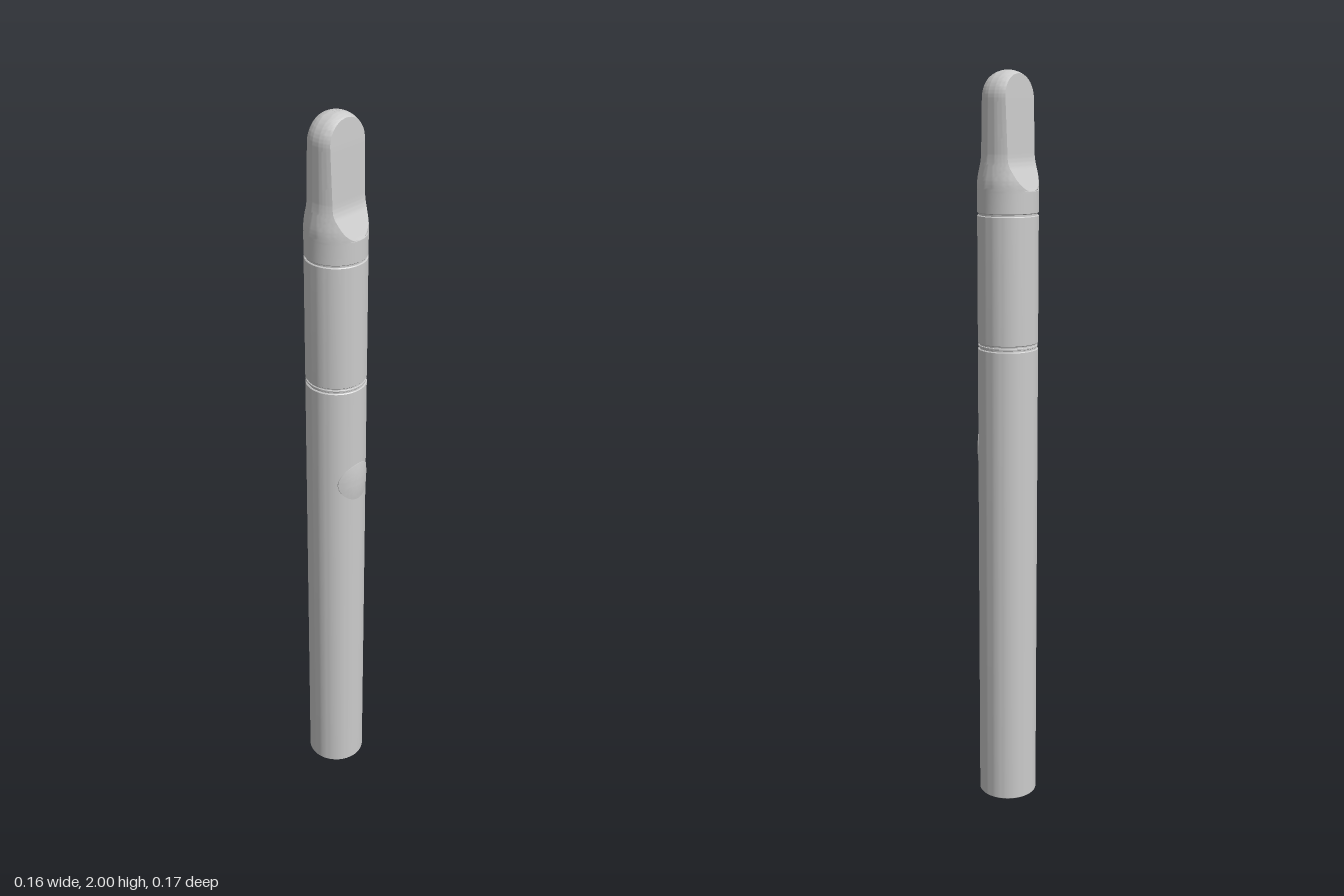
import * as THREE from 'three';
import { toCreasedNormals } from 'three/addons/utils/BufferGeometryUtils.js';

const R = 0.08;
const grey = new THREE.MeshStandardMaterial({ color: 0xcccccc });

function addMesh(parent, name, geometry) {
  const mesh = new THREE.Mesh(geometry, grey);
  mesh.name = name;
  parent.add(mesh);
  return mesh;
}

// Closed tube section with tiny chamfers at both ends
function tubeSection(y0, y1, r, c = 0.002) {
  const pts = [[0, y0], [r - c, y0], [r, y0 + c], [r, y1 - c], [r - c, y1], [0, y1]];
  const geo = new THREE.LatheGeometry(pts.map(p => new THREE.Vector2(...p)), 64);
  return toCreasedNormals(geo, 0.5);
}

// Linear interpolation through [y, value] pairs
function along(table, y) {
  for (let i = 1; i < table.length; i++) {
    const [ya, a] = table[i - 1], [yb, b] = table[i];
    if (y <= yb) return a + (b - a) * Math.max(0, (y - ya) / (yb - ya));
  }
  return table[table.length - 1][1];
}

// Domed round mouthpiece, cut by a flat on the front and back
function mouthpieceGeometry() {
  const radius = [[1.64, R], [1.715, R], [1.73, 0.079], [1.77, 0.073], [1.79, 0.071], [1.93, 0.07]];
  const flat = [[1.695, 0.083], [1.705, 0.077], [1.76, 0.049], [1.77, 0.0455], [1.785, 0.043], [1.93, 0.038], [2, 0.034]];
  const rings = [[1.643, 0], [1.643, R - 0.002], [1.645, R]];
  for (let y = 1.69; y < 1.931; y += 0.005) rings.push([y, along(radius, y)]);
  for (let i = 1; i <= 24; i++) {
    const a = (i / 24) * Math.PI / 2;
    rings.push([1.93 + 0.07 * Math.sin(a), 0.07 * Math.cos(a)]);
  }
  const arc = 20, cut = 12, n = 2 * (arc + cut);
  const pos = [], index = [];
  for (const [y, r] of rings) {
    const t = along(flat, y);
    const a = r > t ? Math.asin(t / r) : Math.PI / 2;
    const half = [];
    for (let i = 0; i < arc; i++) {
      const u = -a + (2 * a * i) / arc;
      half.push([r * Math.cos(u), r * Math.sin(u)]);
    }
    for (let i = 0; i < cut; i++) half.push([r * Math.cos(a) * (1 - (2 * i) / cut), r * Math.sin(a)]);
    for (const s of [1, -1]) for (const [x, z] of half) pos.push(s * x, y, s * z);
  }
  for (let k = 0; k < rings.length - 1; k++) {
    for (let i = 0; i < n; i++) {
      const a = k * n + i, b = k * n + (i + 1) % n;
      index.push(a, a + n, b, b, a + n, b + n);
    }
  }
  const geo = new THREE.BufferGeometry();
  geo.setAttribute('position', new THREE.Float32BufferAttribute(pos, 3));
  geo.setIndex(index);
  return toCreasedNormals(geo, 0.45);
}

// Round button wrapped over the curve of the body
function buttonGeometry(rad) {
  const pts = [[rad, 0], [rad, 1]];
  for (let i = 7; i >= 0; i--) pts.push([rad * i / 8, 1]);
  const geo = new THREE.LatheGeometry(pts.map(p => new THREE.Vector2(...p)), 48);
  geo.rotateX(Math.PI / 2);
  const p = geo.attributes.position;
  for (let i = 0; i < p.count; i++) {
    const x = p.getX(i), y = p.getY(i);
    const lift = p.getZ(i) > 0.5 ? 0.006 - 0.004 * (x * x + y * y) / (rad * rad) : -0.006;
    p.setZ(i, Math.sqrt(R * R - x * x) + lift);
  }
  return toCreasedNormals(geo, 0.6);
}

export function createModel() {
  const model = new THREE.Group();
  model.name = 'pen';
  const pen = new THREE.Group();
  pen.name = 'turnedPen';
  pen.rotation.y = -0.14;
  pen.position.z = -0.002;
  model.add(pen);

  // Main body and the recessed joints between the sections
  addMesh(pen, 'batteryBody', tubeSection(0, 1.289, R));
  addMesh(pen, 'jointCollar', tubeSection(1.285, 1.308, R - 0.004));
  addMesh(pen, 'jointRing', tubeSection(1.293, 1.299, R - 0.001, 0.001));
  addMesh(pen, 'cartridge', tubeSection(1.303, 1.638, R));
  addMesh(pen, 'mouthpieceSeat', tubeSection(1.63, 1.65, R - 0.004));
  addMesh(pen, 'mouthpiece', mouthpieceGeometry());

  // Four tiny vent rims at the tip
  for (let i = 0; i < 4; i++) {
    const a = Math.PI / 4 + i * Math.PI / 2;
    const vent = addMesh(pen, 'ventRim', new THREE.TorusGeometry(0.003, 0.0005, 6, 16));
    vent.rotation.x = Math.PI / 2;
    vent.position.set(0.006 * Math.cos(a), 1.9995, 0.006 * Math.sin(a));
  }

  // Push button on the front
  addMesh(pen, 'button', buttonGeometry(0.055)).position.y = 1.01;
  return model;
}
